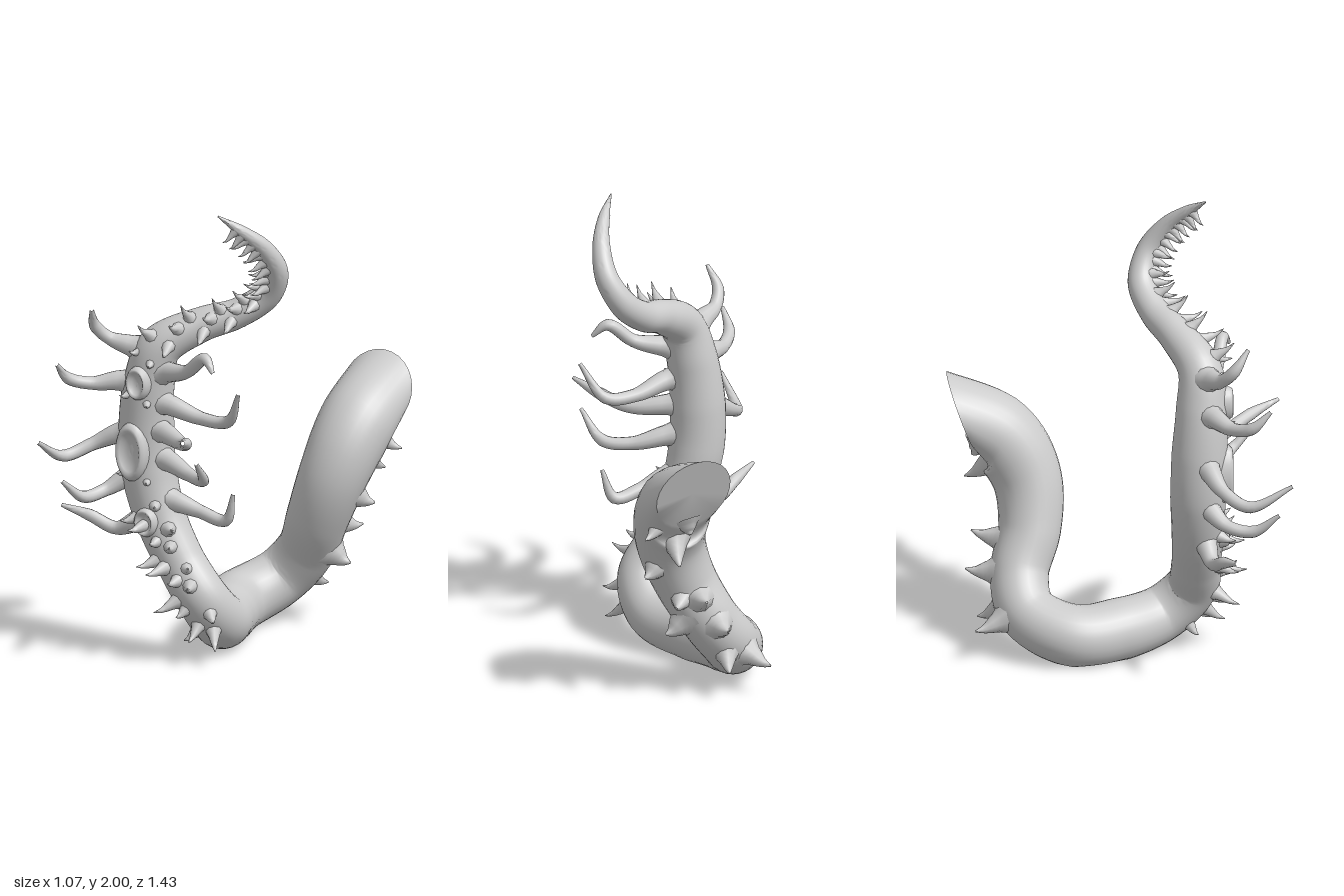
import * as THREE from 'three';
import { toCreasedNormals } from 'three/addons/utils/BufferGeometryUtils.js';

const V = (x, y, z) => new THREE.Vector3(x, y, z);

// Centre and radius along a list of [x, y, z, radius]
function makePath(pts) {
  const curve = new THREE.CatmullRomCurve3(pts.map(p => V(p[0], p[1], p[2])));
  const n = pts.length - 1;
  const radius = t => {
    const i = Math.min(Math.floor(t * n), n - 1);
    return THREE.MathUtils.lerp(pts[i][3], pts[i + 1][3], t * n - i);
  };
  return { curve, radius };
}

// Sweep a round section along a path; startNormal tilts the cut at the first end
function sweep({ curve, radius }, sides, steps, startNormal) {
  const pos = [], idx = [];
  let N = null;
  for (let i = 0; i <= steps; i++) {
    const t = i / steps, p = curve.getPoint(t), T = curve.getTangent(t), r = radius(t);
    if (startNormal) T.lerp(startNormal, Math.max(0, 1 - t / 0.07)).normalize();
    if (!N) N = Math.abs(T.y) > 0.9 ? V(1, 0, 0) : V(0, 1, 0);
    N = N.clone().addScaledVector(T, -N.dot(T)).normalize();
    const B = T.clone().cross(N);
    for (let j = 0; j < sides; j++) {
      const a = j / sides * Math.PI * 2;
      const q = p.clone().addScaledVector(N, r * Math.cos(a)).addScaledVector(B, r * Math.sin(a));
      pos.push(q.x, Math.max(0, q.y), q.z);
    }
  }
  for (let i = 0; i < steps; i++) {
    for (let j = 0; j < sides; j++) {
      const k = (j + 1) % sides;
      const a = i * sides + j, b = i * sides + k, c = a + sides, d = b + sides;
      idx.push(a, b, c, b, d, c);
    }
  }
  // flat start cap
  const c0 = curve.getPoint(0);
  const centre = pos.length / 3;
  pos.push(c0.x, c0.y, c0.z);
  for (let j = 0; j < sides; j++) idx.push(centre, (j + 1) % sides, j);
  const g = new THREE.BufferGeometry();
  g.setAttribute('position', new THREE.Float32BufferAttribute(pos, 3));
  g.setIndex(idx);
  return toCreasedNormals(g, 0.9);
}

export function createModel() {
  const root = new THREE.Group();
  root.name = 'spinedTentacle';
  const mat = new THREE.MeshStandardMaterial({ color: 0xcccccc });
  const add = (name, geo) => {
    const m = new THREE.Mesh(geo, mat);
    m.name = name;
    root.add(m);
    return m;
  };

  // Main body: cut end, back arm, resting base, front stem, hooked tip
  const body = makePath([
    [.345, 1.0, -.66, .175], [.345, .88, -.485, .168], [.31, .7, -.38, .15], [.235, .5, -.37, .135],
    [.14, .32, -.42, .125], [.03, .19, -.39, .125], [-.06, .115, -.2, .135], [0, .115, 0, .135],
    [.09, .15, .19, .12], [.08, .27, .31, .112], [-.02, .42, .325, .105], [-.12, .6, .325, .11],
    [-.18, .8, .325, .12], [-.19, 1.0, .33, .12], [-.17, 1.2, .34, .11], [-.12, 1.36, .335, .095],
    [.03, 1.46, .24, .075], [.16, 1.51, .16, .065], [.28, 1.6, .11, .06], [.345, 1.72, .14, .05],
    [.33, 1.84, .22, .038], [.27, 1.93, .31, .025], [.2, 2.0, .38, .003],
  ]);
  const LAST = 22;
  add('body', sweep(body, 28, 200, V(0, .34, .94)));

  // Curling side feelers: points only, flared at the root and thinning to the tip
  const feelers = [
    [[-.15, 1.33, .34], [-.24, 1.36, .38], [-.32, 1.39, .42], [-.36, 1.45, .47], [-.34, 1.54, .53]],
    [[-.18, 1.18, .35], [-.28, 1.2, .39], [-.38, 1.19, .46], [-.45, 1.22, .54], [-.46, 1.3, .62]],
    [[-.2, .98, .34], [-.3, .96, .37], [-.4, .91, .42], [-.48, .87, .53], [-.5, .97, .71]],
    [[-.17, .8, .33], [-.26, .77, .37], [-.33, .72, .44], [-.37, .71, .55], [-.41, .8, .66]],
    [[-.13, .64, .33], [-.22, .58, .36], [-.31, .54, .38], [-.42, .59, .42], [-.53, .63, .47]],
    [[-.15, 1.25, .35], [-.05, 1.27, .38], [.07, 1.3, .42], [.18, 1.38, .45], [.24, 1.33, .48]],
    [[-.17, 1.12, .34], [-.06, 1.12, .36], [.1, 1.08, .35], [.24, 1.09, .36], [.33, 1.24, .42]],
    [[-.18, 1.0, .34], [-.07, 1.0, .38], [.07, .99, .46], [.16, 1.03, .57], [.22, 1.07, .69]],
    [[-.18, .88, .33], [-.06, .87, .36], [.08, .84, .41], [.19, .85, .48], [.23, .96, .6]],
    [[-.14, .7, .33], [-.04, .69, .34], [.08, .66, .33], [.21, .64, .33], [.26, .77, .35]],
  ];
  const thick = [.085, .046, .029, .026, .008];
  for (const f of feelers) {
    add('feeler', sweep(makePath(f.map((p, i) => [...p, thick[i]])), 12, 28));
  }

  // Thorns: flared cones from inside the body to a slightly bent tip
  const thorn = (tip, base, r) => {
    const at = (t, lift) => {
      const p = base.clone().lerp(tip, t);
      p.y -= lift;
      return [p.x, p.y, p.z];
    };
    add('thorn', sweep(makePath([
      [...at(0, 0), r], [...at(.35, .004), r * .55], [...at(.7, .008), r * .25], [...at(1, 0), r * .04],
    ]), 9, 9));
  };
  const thornOn = (index, dir, length, r) => {
    const t = index / LAST, p = body.curve.getPoint(t), R = body.radius(t);
    const T = body.curve.getTangent(t);
    const d = V(...dir);
    d.addScaledVector(T, -.7 * d.dot(T)).normalize();
    thorn(p.clone().addScaledVector(d, R + length), p.clone().addScaledVector(d, R * .72), r);
  };

  // Large thorns under the back arm, given by tip and root radius
  const samples = body.curve.getPoints(300);
  const backTips = [
    [.33, .8, -.615, .075], [.53, .79, -.57, .07], [.4, .67, -.64, .085], [.47, .57, -.45, .1],
    [.26, .48, -.62, .085], [.36, .44, -.53, .08], [.36, .29, -.43, .1], [.17, .34, -.65, .085],
    [-.05, .14, -.62, .08], [.14, .13, -.6, .07],
  ];
  for (const [x, y, z, r] of backTips) {
    const tip = V(x, y, z);
    const near = samples.reduce((m, p) => p.distanceTo(tip) < m.distanceTo(tip) ? p : m);
    thorn(tip, near.clone().addScaledVector(tip.clone().sub(near).normalize(), .085), r);
  }

  // Staggered thorns up the front of the stem
  for (let i = 0; i < 17; i++) {
    const k = 8.3 + i * .19;
    const side = [-.7, .6, 0, .95, -.3][i % 5];
    const low = Math.max(0, 9.6 - k);
    thornOn(k, [side, .1 - low * .55, 1], .055 + .06 * ((i * 3) % 4) / 3, .045);
  }
  // A few small ones between the suckers
  for (const [k, s] of [[11.9, .5], [12.1, -.5], [13.7, .6], [13.8, -.4], [14.7, .4], [14.8, -.6]]) {
    thornOn(k, [s, 0, 1], .04, .035);
  }
  // Rows along the neck and inside the hook
  for (let i = 0; i < 24; i++) {
    const u = i / 23, k = 15.1 + u * 6;
    const swing = [.85, -.45, .2][i % 3] * (1 - u * .6);
    thornOn(k, [-.15 - u * .55, swing - u * .3, 1 - u * .2], .1 - u * .035, .04 - u * .018);
  }

  // Cupped suckers on the front of the stem
  const rim = [[1.25, -1], [1.1, .05], [.97, .28], [.85, .32], [.74, .2], [.55, -.02], [.25, -.1], [0, -.12]]
    .map(p => new THREE.Vector2(p[0], p[1]));
  const cup = new THREE.LatheGeometry(rim, 24).rotateX(Math.PI / 2);
  for (const [x, y, z, w, h] of [
    [-.16, 1.22, .455, .048, .066], [-.195, .91, .453, .066, .115], [-.128, .605, .44, .048, .057],
  ]) {
    const m = add('sucker', cup);
    m.position.set(x, y, z);
    m.scale.set(w, h, .06);
  }
  return root;
}
